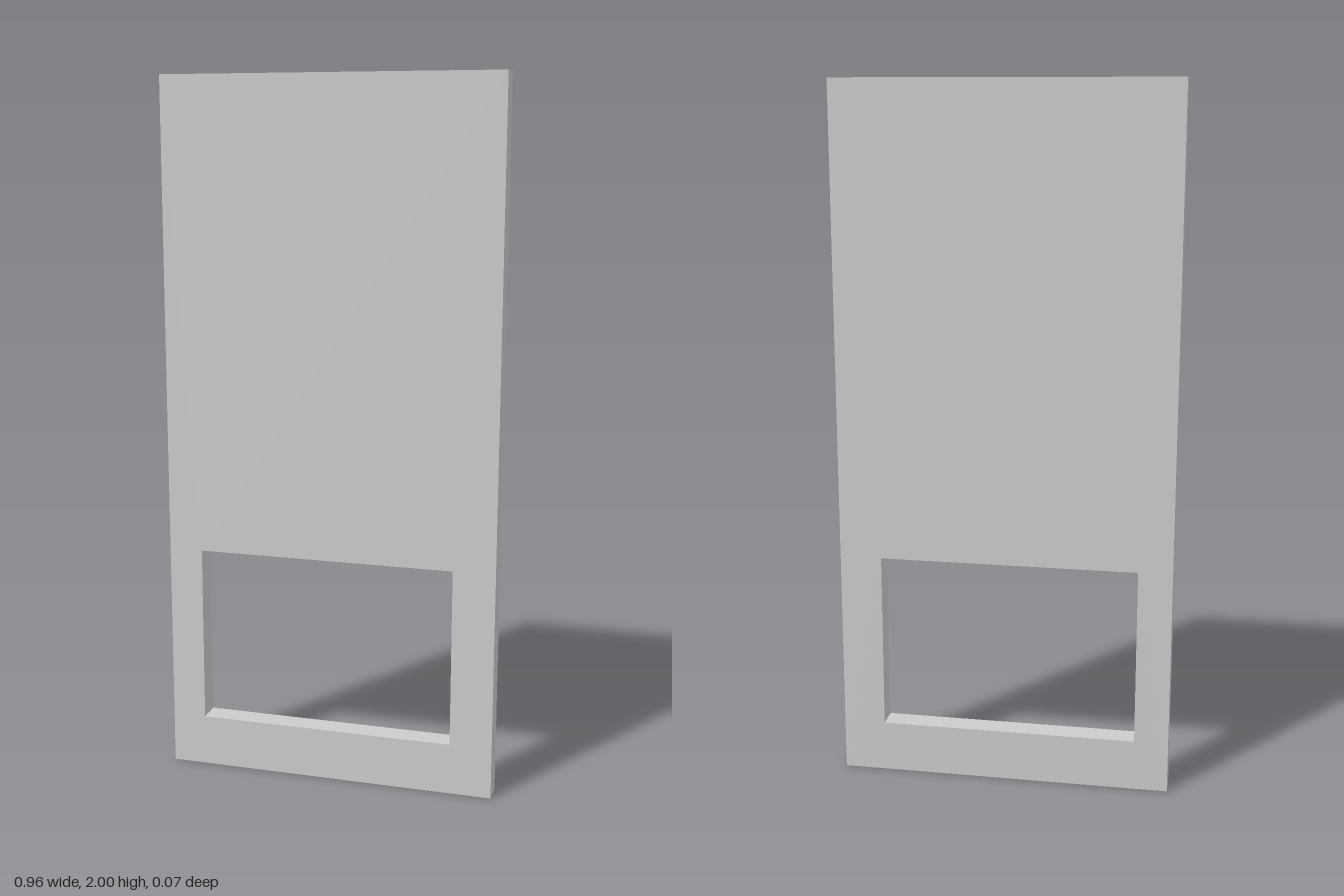
import * as THREE from 'three';

const WIDTH = 0.957, HEIGHT = 2, DEPTH = 0.069;

// Closed rectangle outline from two opposite corners
function rectangle(Type, x0, y0, x1, y1) {
  const path = new Type();
  path.moveTo(x0, y0);
  path.lineTo(x1, y0);
  path.lineTo(x1, y1);
  path.lineTo(x0, y1);
  path.closePath();
  return path;
}

export function createModel() {
  const group = new THREE.Group();
  group.name = 'panelWithOpening';

  // Upright slab with a slightly off-centre opening near the bottom
  const outline = rectangle(THREE.Shape, -WIDTH / 2, 0, WIDTH / 2, HEIGHT);
  outline.holes.push(rectangle(THREE.Path, -0.381, 0.148, 0.358, 0.66));

  const geometry = new THREE.ExtrudeGeometry(outline, { depth: DEPTH, bevelEnabled: false });
  geometry.translate(0, 0, -DEPTH / 2);

  const panel = new THREE.Mesh(geometry, new THREE.MeshStandardMaterial({ color: 0xcccccc }));
  panel.name = 'panel';
  group.add(panel);
  return group;
}
